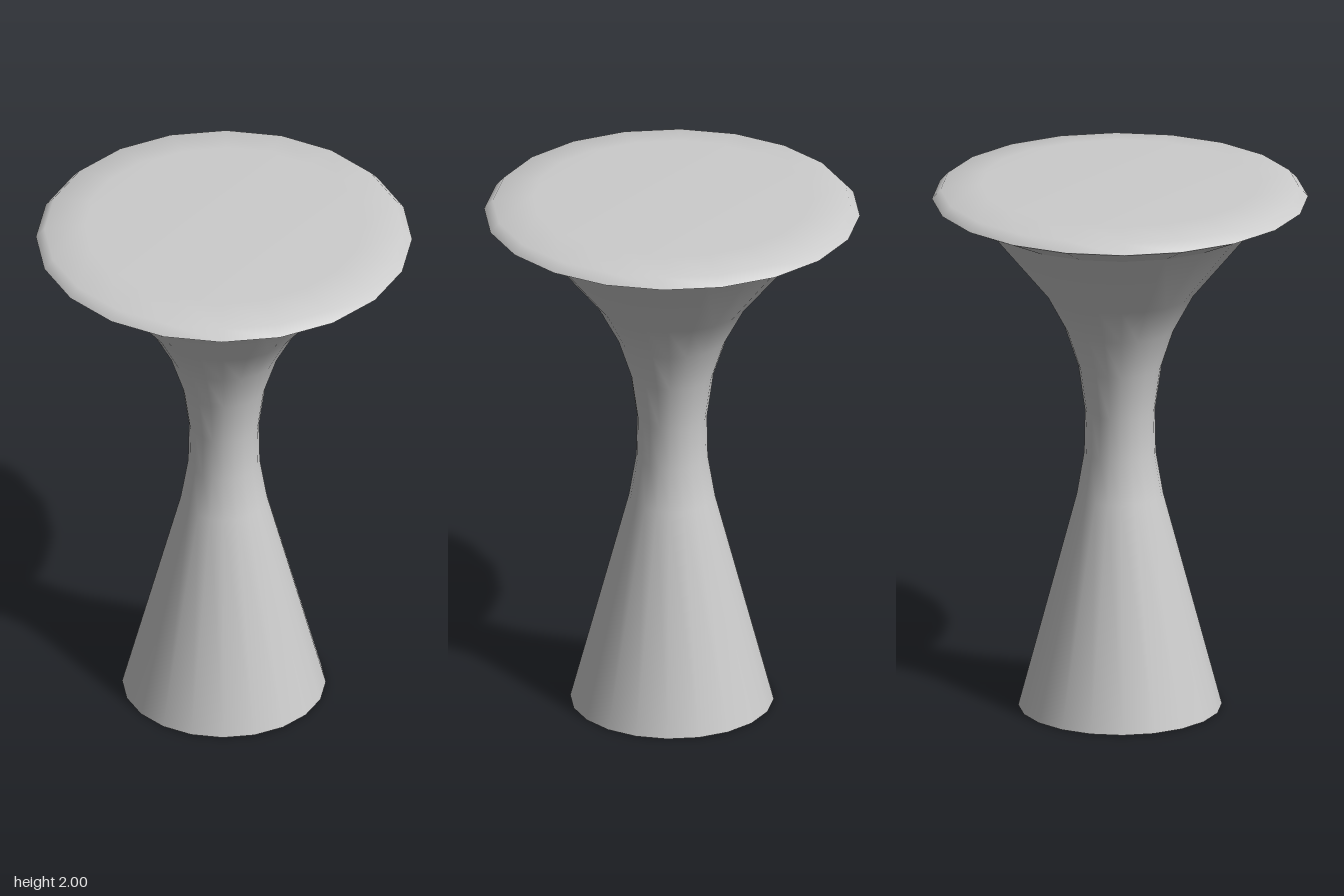
import * as THREE from 'three';

const SIDES = 20;

// Turn a list of [radius, height] pairs, running bottom to top, into a lathe
function turned(profile, flat = false) {
  const points = profile.map(([r, y]) => new THREE.Vector2(r, y));
  let geometry = new THREE.LatheGeometry(points, SIDES);
  if (flat) {
    geometry = geometry.toNonIndexed();
    geometry.computeVertexNormals();
  }
  return geometry;
}

export function createModel() {
  const model = new THREE.Group();
  model.name = 'pedestalStool';

  const grey = new THREE.MeshStandardMaterial({ color: 0xcccccc, side: THREE.DoubleSide });
  grey.name = 'light grey';

  const add = (name, geometry) => {
    const mesh = new THREE.Mesh(geometry, grey);
    mesh.name = name;
    model.add(mesh);
  };

  // Hollow waisted stem, open at the foot
  add('stem', turned([
    [0.372, 0], [0.158, 0.81], [0.131, 0.97], [0.128, 1.13],
    [0.152, 1.3], [0.202, 1.45], [0.278, 1.59], [0.5, 1.86],
  ]));

  // Faceted underside flaring out to the rim
  add('seatUnderside', turned([[0.5, 1.86], [0.687, 1.945]], true));

  // Softly rounded seat top
  add('seatTop', turned([[0.687, 1.945], [0.655, 1.98], [0.51, 2], [0, 2]]));

  return model;
}
